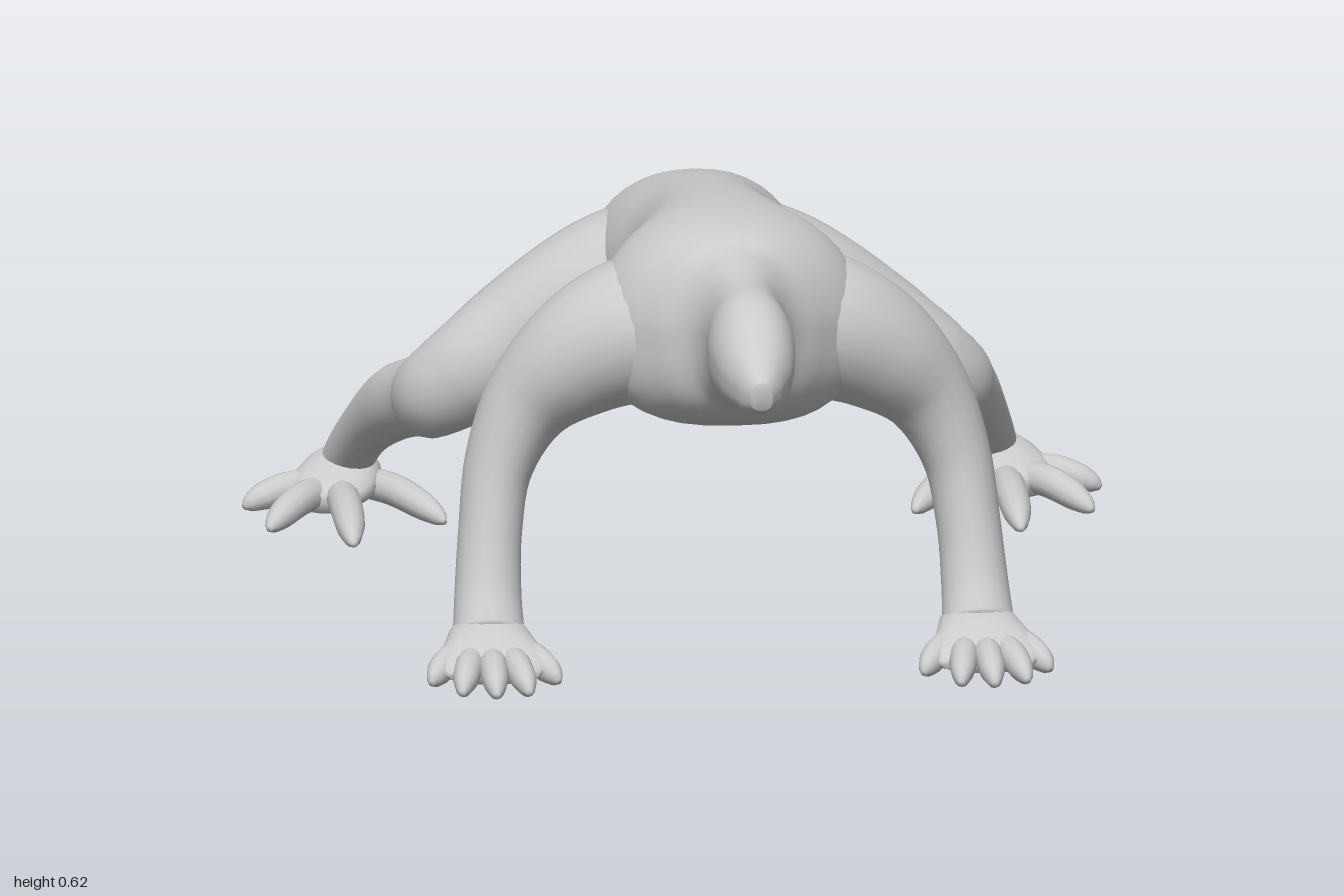
import * as THREE from 'three';

const UP = new THREE.Vector3(0, 1, 0);
const FORWARD = new THREE.Vector3(0, 0, 1);
const skin = new THREE.MeshStandardMaterial({ color: 0xcccccc });

const pow = (v, e) => Math.sign(v) * Math.pow(Math.abs(v), e);
const round = (a) => [Math.cos(a), Math.sin(a)];
// Torso section: slight ridge on the back, boxy flat belly
const torso = (a) => {
  const c = Math.cos(a), s = Math.sin(a);
  return c > 0 ? [pow(c, 1.12), pow(s, 0.88)] : [pow(c, 0.68), pow(s, 0.72)];
};

// Smooth skin through stations [x, y, z, half width, half size along ref]
function sweep(name, stations, { ref = UP, section = round, steps = 6, sides = 20 } = {}) {
  const path = new THREE.CatmullRomCurve3(stations.map((s) => new THREE.Vector3(s[0], s[1], s[2])));
  const size = new THREE.CatmullRomCurve3(
    stations.map((s) => new THREE.Vector3(s[3], s[4] ?? s[3], 0)), false, 'catmullrom', 0.5);
  const rings = (stations.length - 1) * steps;
  const pos = [], index = [];
  for (let i = 0; i <= rings; i++) {
    const t = i / rings;
    const c = path.getPoint(t), r = size.getPoint(t), T = path.getTangent(t);
    const N = ref.clone().addScaledVector(T, -ref.dot(T)).normalize();
    const B = new THREE.Vector3().crossVectors(T, N);
    for (let j = 0; j < sides; j++) {
      const [n, b] = section((j / sides) * Math.PI * 2);
      const p = c.clone()
        .addScaledVector(N, n * Math.max(r.y, 0.002))
        .addScaledVector(B, b * Math.max(r.x, 0.002));
      pos.push(p.x, Math.max(p.y, 0), p.z);
    }
  }
  for (let i = 0; i < rings; i++) {
    for (let j = 0; j < sides; j++) {
      const k = (j + 1) % sides;
      const a = i * sides + j, b = i * sides + k;
      index.push(a, b, a + sides, b, b + sides, a + sides);
    }
  }
  // End caps
  const first = path.getPoint(0), last = path.getPoint(1);
  const c0 = pos.length / 3, end = rings * sides;
  pos.push(first.x, first.y, first.z, last.x, last.y, last.z);
  for (let j = 0; j < sides; j++) {
    const k = (j + 1) % sides;
    index.push(c0, k, j, c0 + 1, end + j, end + k);
  }
  const geo = new THREE.BufferGeometry();
  geo.setAttribute('position', new THREE.Float32BufferAttribute(pos, 3));
  geo.setIndex(index);
  geo.computeVertexNormals();
  const mesh = new THREE.Mesh(geo, skin);
  mesh.name = name;
  return mesh;
}

// Snout to tail tip: [z, top, bottom, half width]
const BODY = [
  [1.0, 0.5, 0.462, 0.014], [0.975, 0.52, 0.45, 0.03], [0.92, 0.55, 0.443, 0.05],
  [0.85, 0.584, 0.437, 0.059], [0.77, 0.588, 0.43, 0.055], [0.71, 0.598, 0.4, 0.07],
  [0.65, 0.613, 0.36, 0.115], [0.58, 0.624, 0.338, 0.17], [0.5, 0.627, 0.33, 0.185],
  [0.41, 0.622, 0.33, 0.15], [0.32, 0.612, 0.33, 0.12], [0.2, 0.594, 0.33, 0.115],
  [0.1, 0.572, 0.328, 0.135], [0.0, 0.548, 0.318, 0.145], [-0.08, 0.52, 0.305, 0.132],
  [-0.16, 0.488, 0.298, 0.103], [-0.26, 0.452, 0.29, 0.082], [-0.42, 0.395, 0.273, 0.055],
  [-0.62, 0.33, 0.247, 0.043], [-0.82, 0.272, 0.228, 0.028], [-0.95, 0.262, 0.23, 0.015],
  [-1.0, 0.256, 0.24, 0.006],
];

// Leg stations for the +x side
const FRONT_LEG = [
  [0.04, 0.475, 0.52, 0.1, 0.12], [0.13, 0.458, 0.515, 0.1, 0.11], [0.205, 0.42, 0.505, 0.086, 0.092],
  [0.272, 0.355, 0.49, 0.063, 0.07], [0.313, 0.27, 0.495, 0.048, 0.06], [0.328, 0.18, 0.52, 0.044, 0.054],
  [0.334, 0.1, 0.553, 0.046, 0.05], [0.336, 0.045, 0.59, 0.05, 0.045],
];
const FRONT_FOOT = [
  [0.335, 0.026, 0.515, 0.025, 0.02], [0.335, 0.042, 0.56, 0.05, 0.04], [0.337, 0.04, 0.615, 0.064, 0.037],
  [0.338, 0.027, 0.67, 0.08, 0.024], [0.338, 0.02, 0.7, 0.06, 0.012],
];
// Toe: [base x, base z, tip x, tip z]
const FRONT_TOES = [
  [0.375, 0.61, 0.425, 0.695], [0.36, 0.63, 0.388, 0.755], [0.338, 0.64, 0.342, 0.772],
  [0.315, 0.63, 0.296, 0.762], [0.3, 0.61, 0.25, 0.7],
];
const HIND_LEG = [
  [0.04, 0.425, 0.03, 0.13, 0.1], [0.13, 0.395, 0.03, 0.11, 0.095], [0.23, 0.335, 0.028, 0.088, 0.085],
  [0.31, 0.282, 0.03, 0.07, 0.072], [0.355, 0.246, 0.005, 0.058, 0.062], [0.357, 0.222, -0.08, 0.05, 0.056],
  [0.388, 0.187, -0.18, 0.047, 0.052], [0.42, 0.128, -0.28, 0.038, 0.04], [0.438, 0.075, -0.345, 0.037, 0.034],
  [0.446, 0.04, -0.375, 0.038, 0.03],
];
const HIND_FOOT = [
  [0.432, 0.024, -0.412, 0.028, 0.02], [0.443, 0.042, -0.375, 0.052, 0.038],
  [0.466, 0.034, -0.32, 0.06, 0.03], [0.487, 0.022, -0.27, 0.04, 0.014],
];
const HIND_TOES = [
  [0.48, -0.35, 0.588, -0.31], [0.48, -0.32, 0.565, -0.183],
  [0.455, -0.3, 0.458, -0.087], [0.42, -0.37, 0.322, -0.202],
];

function toe([bx, bz, tx, tz], side, width) {
  const at = (t, y, w, h) => [side * (bx + (tx - bx) * t), y, bz + (tz - bz) * t, w, h];
  return sweep('toe', [
    at(0, 0.028, width, 0.022), at(0.4, 0.031, width, 0.022), at(0.75, 0.022, width * 0.85, 0.019),
    at(0.93, 0.014, width * 0.5, 0.012), at(1, 0.01, 0.004, 0.004),
  ], { steps: 4, sides: 12 });
}

function leg(name, side, limb, ref, foot, toes, toeWidth) {
  const mirror = (rows) => rows.map(([x, ...rest]) => [side * x, ...rest]);
  const group = new THREE.Group();
  group.name = name;
  group.add(sweep('limb', mirror(limb), { ref }), sweep('foot', mirror(foot)));
  for (const t of toes) group.add(toe(t, side, toeWidth));
  return group;
}

export function createModel() {
  const model = new THREE.Group();
  model.name = 'lizard';
  // Head, trunk and tail in one skin
  const rows = BODY.map(([z, top, bottom, w]) => [0, (top + bottom) / 2, z, w, (top - bottom) / 2]);
  model.add(sweep('body', rows, { section: torso, sides: 40 }));
  for (const [label, side] of [['left', 1], ['right', -1]]) {
    model.add(leg(label + 'FrontLeg', side, FRONT_LEG, FORWARD, FRONT_FOOT, FRONT_TOES, 0.02));
    model.add(leg(label + 'HindLeg', side, HIND_LEG, UP, HIND_FOOT, HIND_TOES, 0.023));
  }
  return model;
}
